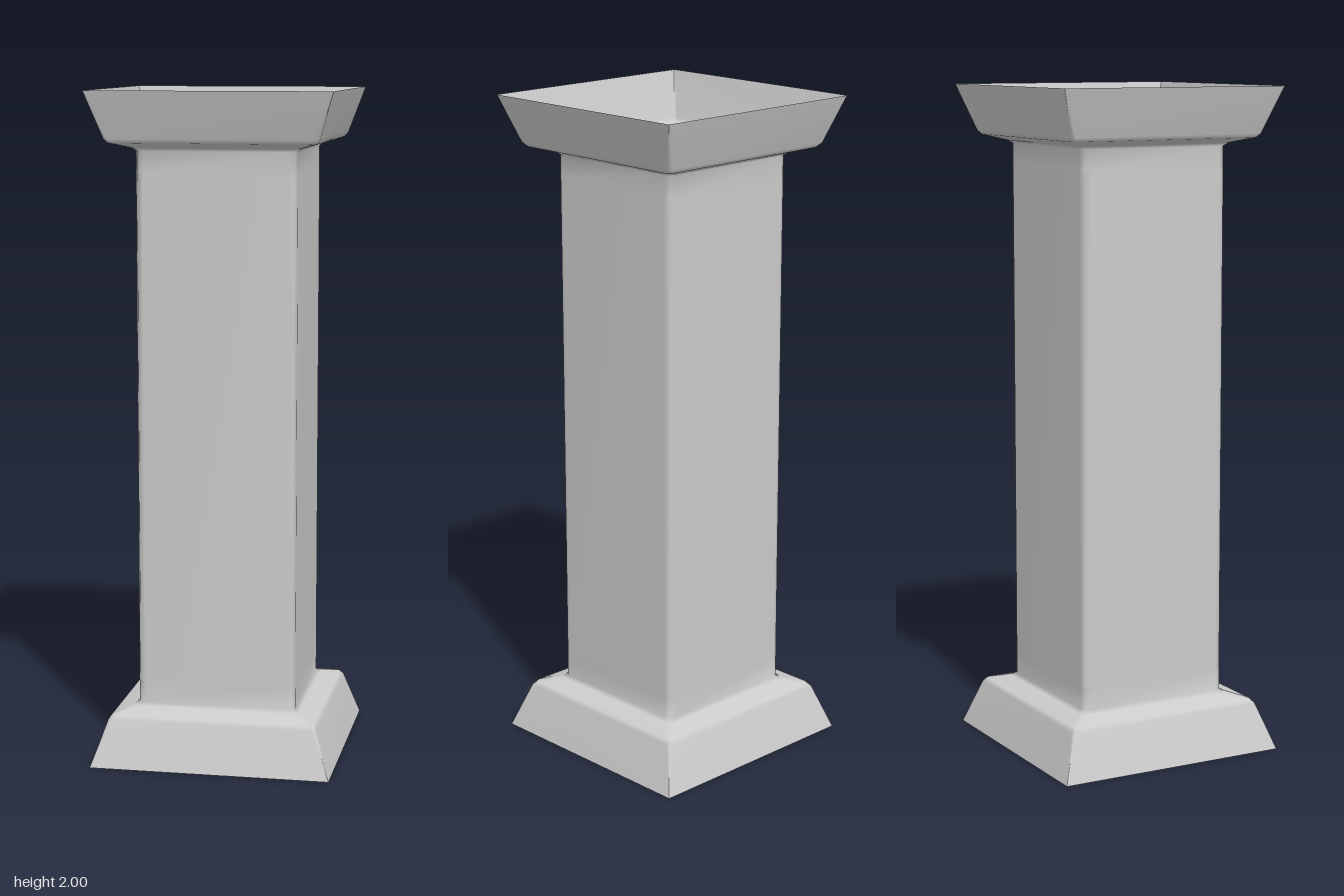
import * as THREE from 'three';

const CORNER_STEPS = 2;

// One rounded-square ring: half width and corner radius at height y
function squareRing([y, half, radius]) {
  const points = [];
  for (let c = 0; c < 4; c++) {
    const mid = Math.PI / 4 + c * Math.PI / 2;
    const cx = Math.sign(Math.cos(mid)) * (half - radius);
    const cz = Math.sign(Math.sin(mid)) * (half - radius);
    for (let s = 0; s <= CORNER_STEPS; s++) {
      const a = (c + s / CORNER_STEPS) * Math.PI / 2;
      points.push(cx + radius * Math.cos(a), y, cz + radius * Math.sin(a));
    }
  }
  return points;
}

// Open shell lofted through rings listed from bottom to top
function loft(name, rings, material) {
  const n = 4 * (CORNER_STEPS + 1);
  const index = [];
  for (let r = 0; r < rings.length - 1; r++) {
    for (let i = 0; i < n; i++) {
      const a = r * n + i, b = r * n + (i + 1) % n;
      index.push(a, a + n, b, b, a + n, b + n);
    }
  }
  const geometry = new THREE.BufferGeometry();
  geometry.setAttribute('position', new THREE.Float32BufferAttribute(rings.flatMap(squareRing), 3));
  geometry.setIndex(index);
  geometry.computeVertexNormals();
  const mesh = new THREE.Mesh(geometry, material);
  mesh.name = name;
  return mesh;
}

export function createModel() {
  const group = new THREE.Group();
  group.name = 'squareColumn';
  const material = new THREE.MeshStandardMaterial({ color: 0xcccccc, side: THREE.DoubleSide });

  // Flared foot: sloping skirt, softened shoulder, neck
  const foot = [
    [0, 0.36, 0.002],
    [0.138, 0.314, 0.012],
    [0.15, 0.305, 0.018],
    [0.166, 0.25, 0.025],
    [0.175, 0.238, 0.025],
    [0.24, 0.238, 0.025],
  ];
  // The capital is the foot mirrored top to bottom
  const capital = foot.map(([y, half, radius]) => [2 - y, half, radius]).reverse();
  const shaft = [[0.24, 0.238, 0.025], [1.76, 0.238, 0.025]];

  group.add(
    loft('base', foot, material),
    loft('shaft', shaft, material),
    loft('capital', capital, material),
  );
  return group;
}
